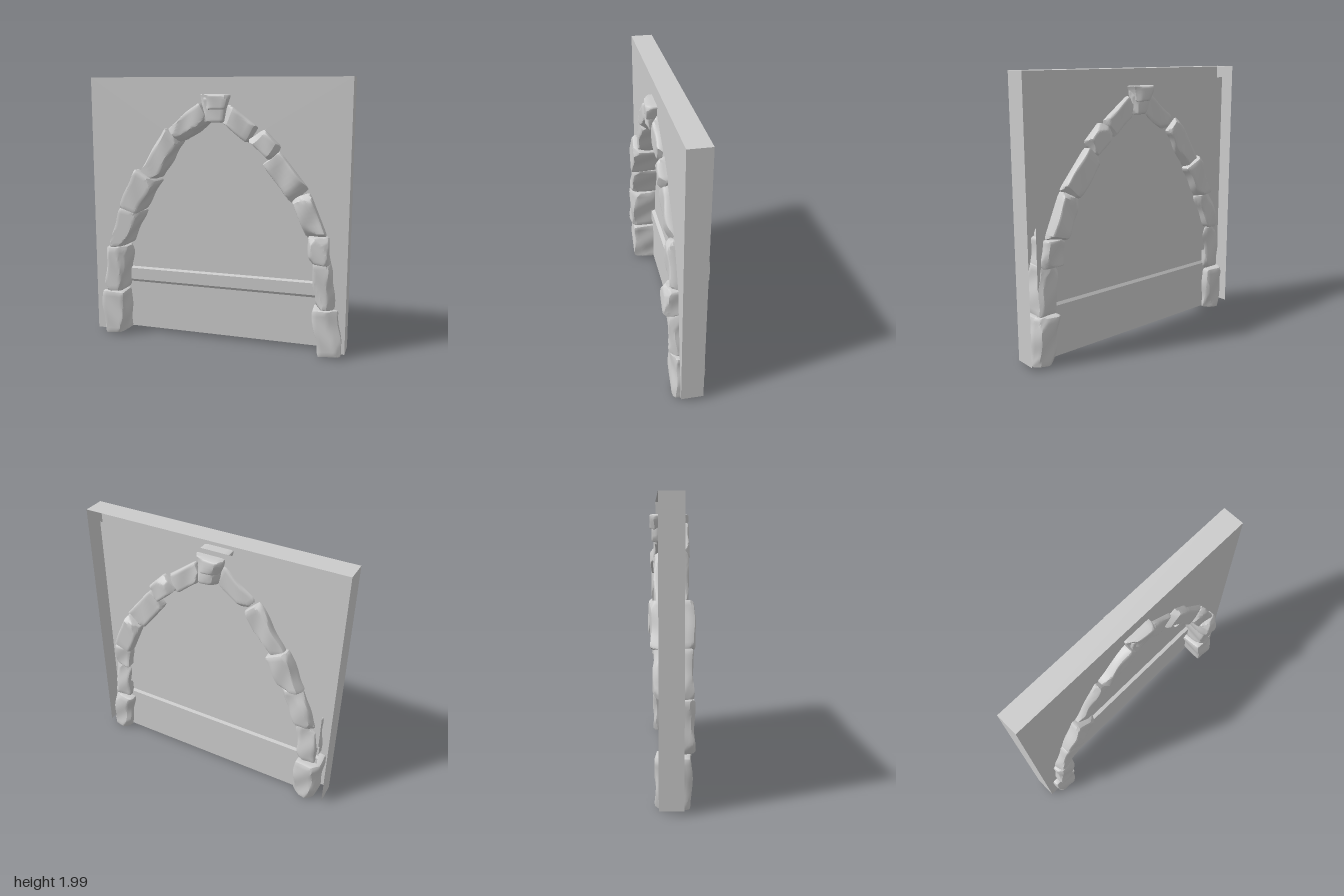
import * as THREE from 'three';
import { toCreasedNormals } from 'three/addons/utils/BufferGeometryUtils.js';

const stoneMat = new THREE.MeshStandardMaterial({ color: 0xcccccc });
const wallMat = new THREE.MeshStandardMaterial({ color: 0xcccccc, side: THREE.DoubleSide });

function seeded(seed) {
  let s = seed * 7919 + 17;
  return () => (s = (s * 16807) % 2147483647) / 2147483647;
}

// Rough-hewn stone: rounded block, chipped by planes, fitted to four front corners
// (counter-clockwise) and a depth range
function stone(name, corners, zBack, zFront, seed) {
  const rnd = seeded(seed);
  for (let i = 0; i < 5; i++) rnd();
  const [a, b, c, d] = corners.map(p => new THREE.Vector2(...p));
  const size = new THREE.Vector3(
    (a.distanceTo(b) + c.distanceTo(d)) / 2,
    (a.distanceTo(d) + b.distanceTo(c)) / 2, zFront - zBack);
  const half = size.clone().multiplyScalar(0.5);
  const r = 0.018;
  const inner = half.clone().subScalar(r);
  // planes that shave edges and corners
  const cuts = [];
  for (let i = 0; i < 12; i++) {
    const n = new THREE.Vector3(rnd() < 0.5 ? -1 : 1, rnd() * 2 - 1, rnd() < 0.5 ? -1 : 1);
    n.x *= 0.4 + rnd(); n.z *= 0.4 + rnd(); n.y *= 0.9;
    n.normalize();
    const reach = Math.abs(n.x) * half.x + Math.abs(n.y) * half.y + Math.abs(n.z) * half.z;
    cuts.push([n, reach - 0.02 - rnd() * 0.022]);
  }
  const phase = rnd() * 20;
  const geo = new THREE.BoxGeometry(size.x, size.y, size.z, 10, 16, 12);
  const pos = geo.attributes.position;
  const p = new THREE.Vector3(), q = new THREE.Vector3();
  for (let i = 0; i < pos.count; i++) {
    p.fromBufferAttribute(pos, i);
    q.copy(p).clamp(inner.clone().negate(), inner);
    p.sub(q).normalize().multiplyScalar(r).add(q);
    for (const [n, dist] of cuts) {
      const over = p.dot(n) - dist;
      if (over > 0) p.addScaledVector(n, -over);
    }
    // gentle swells over the faces
    p.x += 0.005 * Math.sin(p.y * 26 + p.z * 14 + phase);
    p.z += 0.006 * Math.sin(p.y * 21 + p.x * 24 + phase * 2);
    const u = p.x / size.x + 0.5, v = p.y / size.y + 0.5;
    const low = a.clone().lerp(b, u), high = d.clone().lerp(c, u);
    low.lerp(high, v);
    pos.setXYZ(i, low.x, low.y, p.z + (zBack + zFront) / 2);
  }
  geo.deleteAttribute('uv');
  const mesh = new THREE.Mesh(toCreasedNormals(geo, 0.5), stoneMat);
  mesh.name = name;
  return mesh;
}

function sheet(name, w, h, x, y, z, rx, ry) {
  const mesh = new THREE.Mesh(new THREE.PlaneGeometry(w, h), wallMat);
  mesh.position.set(x, y, z);
  mesh.rotation.set(rx, ry, 0);
  mesh.name = name;
  return mesh;
}

export function createModel() {
  const group = new THREE.Group();
  const W = 0.975, TOP = 2, BASE = 0.04, FRONT = 0.07, BACK = -0.09;

  // Front wall with the pointed opening running behind the stones
  const opening = [[-0.82, BASE], [-0.82, 0.37], [-0.78, 0.72], [-0.67, 1.0], [-0.52, 1.28],
    [-0.32, 1.57], [0, 1.78], [0.29, 1.59], [0.43, 1.44], [0.64, 1.16], [0.76, 0.89],
    [0.80, 0.71], [0.83, 0.37], [0.85, BASE]];
  const outline = [[W, BASE], [W, TOP], [-W, TOP], [-W, BASE], ...opening];
  const wall = new THREE.Mesh(
    new THREE.ShapeGeometry(new THREE.Shape(outline.map(p => new THREE.Vector2(...p)))), wallMat);
  wall.position.z = FRONT;
  wall.name = 'frontWall';
  group.add(wall);

  // Thin sides and top of the wall, open at the back
  const depth = FRONT - BACK, mid = (FRONT + BACK) / 2;
  for (const s of [-1, 1]) {
    group.add(sheet(s > 0 ? 'leftSide' : 'rightSide', depth, TOP - BASE,
      s * W, (TOP + BASE) / 2, mid, 0, s * Math.PI / 2));
  }
  group.add(sheet('topSide', 2 * W, depth, 0, TOP, mid, -Math.PI / 2, 0));

  // Recessed back panel with a moulded sill: (y, z) profile swept along x
  const profile = [[1.915, -0.06], [0.53, -0.06], [0.52, -0.032], [0.43, -0.032],
    [0.41, -0.045], [BASE, -0.045]];
  const verts = [], index = [], P = 0.89;
  profile.slice(0, -1).forEach(([y, z], i) => {
    const [y2, z2] = profile[i + 1], k = i * 4;
    verts.push(-P, y, z, P, y, z, -P, y2, z2, P, y2, z2);
    index.push(k, k + 2, k + 1, k + 1, k + 2, k + 3);
  });
  const panelGeo = new THREE.BufferGeometry();
  panelGeo.setAttribute('position', new THREE.Float32BufferAttribute(verts, 3));
  panelGeo.setIndex(index);
  panelGeo.computeVertexNormals();
  const panel = new THREE.Mesh(panelGeo, wallMat);
  panel.name = 'backPanel';
  group.add(panel);

  // Arch stones: corners, back z, front z
  const arch = new THREE.Group();
  arch.name = 'arch';
  const stones = [
    ['rightFoot', [[-0.90, 0.01], [-0.73, 0.03], [-0.73, 0.36], [-0.92, 0.36]], -0.11, 0.12],
    ['rightStone1', [[-0.88, 0.37], [-0.74, 0.37], [-0.70, 0.72], [-0.86, 0.72]], -0.08, 0.14],
    ['rightStone2', [[-0.86, 0.71], [-0.71, 0.73], [-0.58, 1.0], [-0.74, 1.03]], -0.12, 0.135],
    ['rightStone3', [[-0.75, 1.03], [-0.60, 0.99], [-0.45, 1.24], [-0.61, 1.33]], -0.135, 0.15],
    ['rightStone4', [[-0.60, 1.28], [-0.45, 1.25], [-0.27, 1.54], [-0.38, 1.64]], -0.11, 0.12],
    ['rightStone5', [[-0.35, 1.63], [-0.26, 1.53], [-0.03, 1.69], [-0.10, 1.83]], -0.075, 0.135],
    ['leftStone5', [[0.05, 1.69], [0.25, 1.53], [0.34, 1.64], [0.10, 1.82]], -0.105, 0.11],
    ['leftStone4', [[0.25, 1.56], [0.42, 1.41], [0.49, 1.52], [0.36, 1.65]], -0.13, 0.125],
    ['leftStone3', [[0.36, 1.39], [0.57, 1.12], [0.70, 1.22], [0.48, 1.49]], -0.12, 0.11],
    ['leftStone2', [[0.57, 1.15], [0.69, 0.87], [0.83, 0.90], [0.70, 1.21]], -0.15, 0.12],
    ['leftStone1', [[0.71, 0.71], [0.86, 0.70], [0.84, 0.90], [0.69, 0.90]], -0.12, 0.165],
    ['leftStone0', [[0.76, 0.37], [0.90, 0.37], [0.87, 0.72], [0.73, 0.71]], -0.09, 0.13],
    ['leftFoot', [[0.79, 0.01], [0.96, 0.03], [0.92, 0.37], [0.73, 0.36]], -0.11, 0.12],
  ];
  stones.forEach(([name, corners, zb, zf], i) => arch.add(stone(name, corners, zb, zf, i + 3)));

  // Keystone: tapered body under a wider cap
  const key = new THREE.Group();
  key.name = 'keystone';
  key.add(stone('keystoneBody', [[-0.07, 1.68], [0.08, 1.68], [0.09, 1.86], [-0.09, 1.86]], -0.12, 0.125, 31));
  key.add(stone('keystoneCap', [[-0.08, 1.77], [0.09, 1.77], [0.115, 1.88], [-0.115, 1.88]], -0.135, 0.14, 37));
  arch.add(key);
  group.add(arch);
  return group;
}
